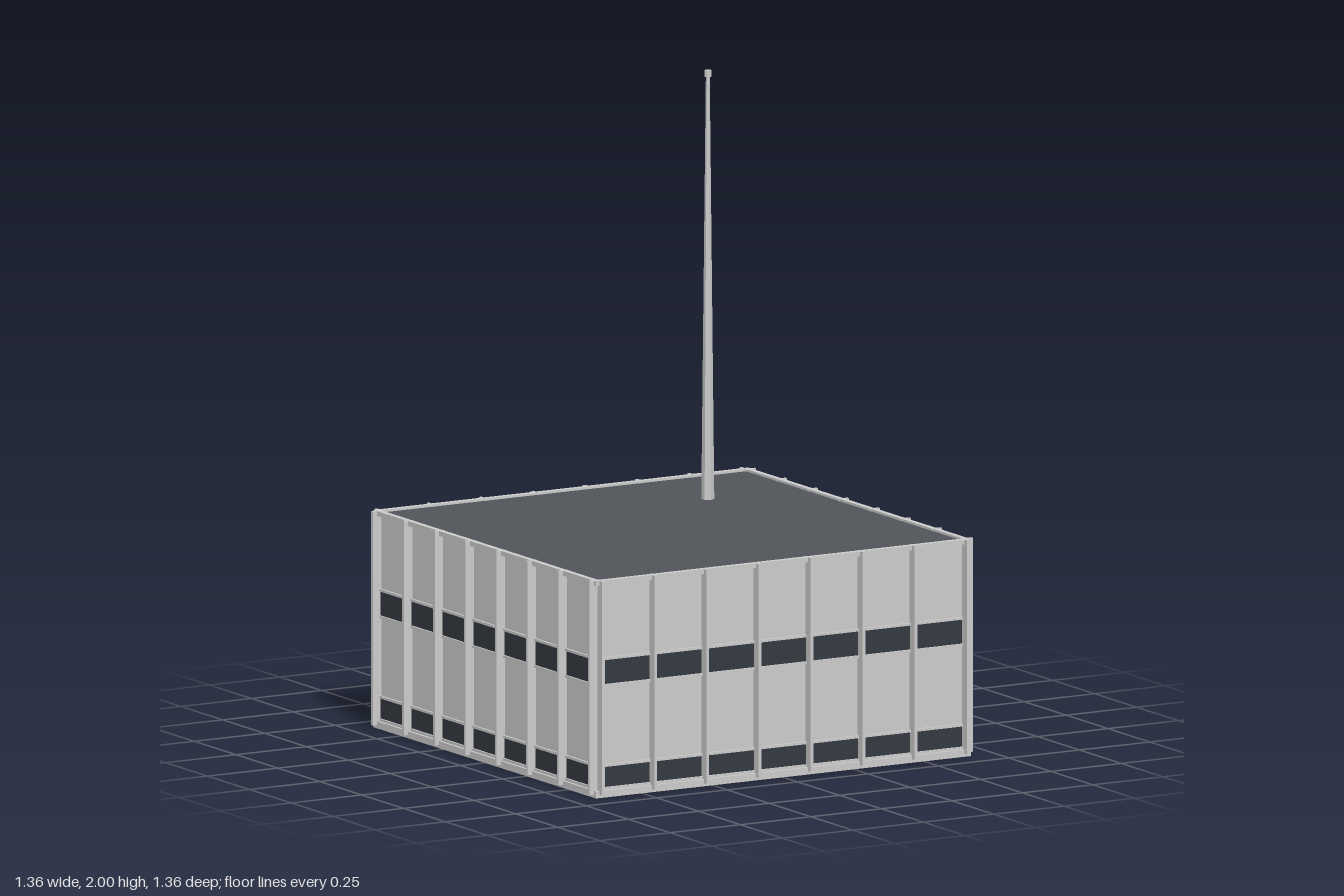
import * as THREE from 'three';

const grey = new THREE.MeshStandardMaterial({ color: 0xcccccc, flatShading: true });
const glass = new THREE.MeshStandardMaterial({ color: 0x343a41 });
const roofing = new THREE.MeshStandardMaterial({ color: 0x515559 });

const WALL = 0.65;   // half width of the wall planes
const RAIL = 0.665;  // half width of the rails
const TOP = 0.675;   // parapet height

function box(name, parent, material, x0, x1, y0, y1, z0, z1) {
  const mesh = new THREE.Mesh(new THREE.BoxGeometry(x1 - x0, y1 - y0, z1 - z0), material);
  mesh.position.set((x0 + x1) / 2, (y0 + y1) / 2, (z0 + z1) / 2);
  mesh.name = name;
  parent.add(mesh);
  return mesh;
}

// One side of the building, facing +z
function createFacade(name) {
  const side = new THREE.Group();
  side.name = name;

  // Strip windows, each framed by a slim sill and head
  for (const [y0, y1] of [[0.03, 0.093], [0.35, 0.425]]) {
    box('stripWindow', side, glass, -WALL, WALL, y0, y1, WALL - 0.01, WALL + 0.002);
    box('windowSill', side, grey, -WALL, WALL, y0 - 0.008, y0, WALL - 0.01, WALL + 0.007);
    box('windowHead', side, grey, -WALL, WALL, y1, y1 + 0.008, WALL - 0.01, WALL + 0.007);
  }

  // Vertical fins
  for (let i = 0; i < 8; i++) {
    const x = -0.647 + i * (1.294 / 7);
    box('facadeFin', side, grey, x - 0.005, x + 0.005, 0.01, TOP, WALL - 0.005, 0.68);
  }
  return side;
}

// Square ring running round the building
function createRing(name, inner, outer, y0, y1) {
  const square = (r) => [[-r, -r], [r, -r], [r, r], [-r, r]].map(([x, y]) => new THREE.Vector2(x, y));
  const shape = new THREE.Shape(square(outer));
  shape.holes.push(new THREE.Path(square(inner)));
  const geometry = new THREE.ExtrudeGeometry(shape, { depth: y1 - y0, bevelEnabled: false });
  geometry.rotateX(-Math.PI / 2);
  const ring = new THREE.Mesh(geometry, grey);
  ring.position.y = y0;
  ring.name = name;
  return ring;
}

function createMast() {
  const mast = new THREE.Group();
  mast.name = 'mast';
  const pole = new THREE.Mesh(new THREE.CylinderGeometry(0.006, 0.02, 1.325, 6), grey);
  pole.position.y = 0.66 + 1.325 / 2;
  pole.name = 'mastPole';
  const cap = new THREE.Mesh(new THREE.CylinderGeometry(0.011, 0.011, 0.02, 8), grey);
  cap.position.y = 1.99;
  cap.name = 'mastCap';
  mast.add(pole, cap);
  mast.position.set(0.322, 0, -0.328);
  return mast;
}

export function createModel() {
  const model = new THREE.Group();
  model.name = 'officeBuilding';

  // Solid body, base slab and roof
  box('body', model, grey, -WALL, WALL, 0.005, 0.66, -WALL, WALL);
  box('baseSlab', model, grey, -RAIL, RAIL, 0, 0.022, -RAIL, RAIL);
  box('roof', model, roofing, -0.647, 0.647, 0.65, 0.668, -0.647, 0.647);
  model.add(createRing('parapet', 0.647, RAIL, 0.66, TOP));

  // Four matching sides
  ['frontFacade', 'leftFacade', 'backFacade', 'rightFacade'].forEach((name, i) => {
    const side = createFacade(name);
    side.rotation.y = i * Math.PI / 2;
    model.add(side);
  });

  model.add(createMast());
  return model;
}
